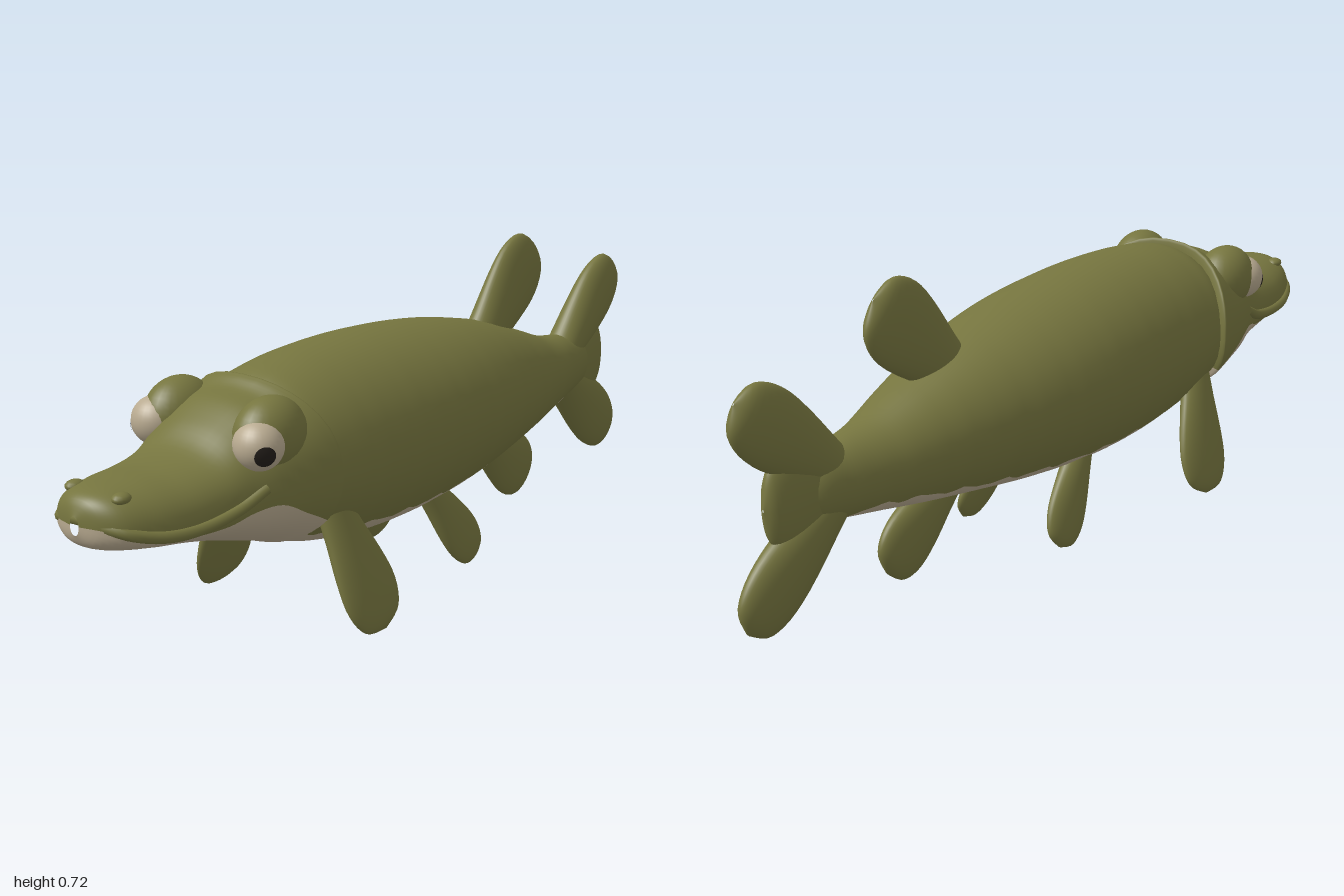
import * as THREE from 'three';

const mat = (name, color, opts = {}) => {
  const m = new THREE.MeshStandardMaterial({ color, ...opts });
  m.name = name;
  return m;
};

// Catmull-Rom blend between rows of numbers
function smoothRows(rows, steps) {
  const out = [];
  for (let i = 0; i < rows.length - 1; i++) {
    const a = rows[Math.max(i - 1, 0)], b = rows[i], c = rows[i + 1], d = rows[Math.min(i + 2, rows.length - 1)];
    for (let s = 0; s < steps; s++) {
      const t = s / steps;
      out.push(b.map((v, k) => v + 0.5 * t * (c[k] - a[k]
        + t * (2 * a[k] - 5 * v + 4 * c[k] - d[k] + t * (3 * (v - c[k]) + d[k] - a[k])))));
    }
  }
  out.push(rows[rows.length - 1]);
  return out;
}

// Loft along z, front to back. Row: z, top, bottom, half width, widest y, colour split y, backward bow
function loft(rows, { steps = 5, e = 1, wave = 0 } = {}) {
  const NU = 24, NL = 16, N = NU + NL;
  const pos = [], upper = [], lower = [];
  const pw = (v, p) => Math.sign(v) * Math.abs(v) ** p;
  const rings = smoothRows(rows, steps);
  rings.forEach(([z, top, bot, hw, mid, split, bow]) => {
    const s = split + wave * (Math.sin(z * 55) + 0.6 * Math.sin(z * 97));
    const u = THREE.MathUtils.clamp((s - mid) / (s > mid ? top - mid : mid - bot), -0.98, 0.98);
    const a0 = Math.asin(pw(u, 1 / e));
    for (let j = 0; j < N; j++) {
      const a = j < NU ? a0 + (Math.PI - 2 * a0) * j / NU
        : Math.PI - a0 + (Math.PI + 2 * a0) * (j - NU) / NL;
      const c = Math.cos(a), sn = Math.sin(a);
      pos.push(Math.max(hw, 0.001) * pw(c, e), mid + (sn > 0 ? top - mid : mid - bot) * pw(sn, e), z - bow * c * c);
    }
  });
  for (let i = 0; i < rings.length - 1; i++) {
    for (let j = 0; j < N; j++) {
      const k = (j + 1) % N, p = i * N, q = p + N;
      (j < NU ? upper : lower).push(p + j, q + j, p + k, p + k, q + j, q + k);
    }
  }
  const g = new THREE.BufferGeometry();
  g.setAttribute('position', new THREE.Float32BufferAttribute(pos, 3));
  g.setIndex([...upper, ...lower]);
  g.addGroup(0, upper.length, 0);
  g.addGroup(upper.length, lower.length, 1);
  g.computeVertexNormals();
  return g;
}

// Rounded paddle: distance along, half width, thickness (all as fractions)
const PADDLE = [[0, 0.5, 1], [0.25, 0.68, 1], [0.5, 0.9, 0.95], [0.7, 1, 0.85], [0.85, 0.9, 0.7], [0.95, 0.62, 0.45], [1, 0.03, 0.03]];
function fin(root, tip, width, thick, across) {
  const r = new THREE.Vector3(...root), Z = r.clone().sub(new THREE.Vector3(...tip));
  const len = Z.length();
  Z.normalize();
  const Y = new THREE.Vector3(...across);
  Y.addScaledVector(Z, -Y.dot(Z)).normalize();
  const X = new THREE.Vector3().crossVectors(Y, Z);
  const rows = PADDLE.map(([t, w, h]) => [-t * len, w * width / 2, -w * width / 2, h * thick / 2, 0, 0, 0]);
  const g = loft(rows, { steps: 3 });
  g.clearGroups();
  return g.applyMatrix4(new THREE.Matrix4().makeBasis(X, Y, Z).setPosition(r));
}

export function createModel() {
  const model = new THREE.Group();
  const green = mat('olive green', 0x76753f);
  const cream = mat('cream', 0xb8aa90);
  const black = mat('pupil black', 0x231e1a);
  const add = (name, geo, material, parent = model) => {
    const m = new THREE.Mesh(geo, material);
    m.name = name;
    parent.add(m);
    return m;
  };

  // Body with pale belly
  add('body', loft([
    [0.57, 0.48, 0.28, 0.1, 0.38, 0.3, 0],
    [0.5, 0.56, 0.215, 0.185, 0.38, 0.24, 0],
    [0.4, 0.588, 0.175, 0.207, 0.37, 0.225, 0],
    [0.25, 0.598, 0.148, 0.216, 0.37, 0.208, 0],
    [0.1, 0.597, 0.14, 0.22, 0.37, 0.203, 0],
    [-0.05, 0.585, 0.147, 0.217, 0.37, 0.205, 0],
    [-0.2, 0.563, 0.163, 0.2, 0.365, 0.215, 0],
    [-0.35, 0.528, 0.185, 0.168, 0.355, 0.23, 0],
    [-0.5, 0.478, 0.208, 0.128, 0.345, 0.25, 0],
    [-0.62, 0.435, 0.23, 0.092, 0.335, 0.266, 0],
    [-0.72, 0.418, 0.248, 0.066, 0.333, 0.264, 0],
    [-0.8, 0.4, 0.268, 0.045, 0.333, 0.27, 0],
    [-0.85, 0.34, 0.325, 0.004, 0.333, 0.327, 0],
  ], { steps: 7, wave: 0.005 }), [green, cream]);

  // Head with flat snout, pale jaw and gill cover edge
  add('head', loft([
    [1.0, 0.4, 0.36, 0.012, 0.38, 0.38, 0],
    [0.985, 0.43, 0.335, 0.06, 0.376, 0.378, 0],
    [0.95, 0.444, 0.322, 0.1, 0.365, 0.364, 0],
    [0.88, 0.45, 0.31, 0.127, 0.355, 0.338, 0],
    [0.8, 0.452, 0.295, 0.14, 0.355, 0.328, 0],
    [0.72, 0.468, 0.275, 0.15, 0.36, 0.328, 0],
    [0.66, 0.508, 0.258, 0.163, 0.365, 0.345, 0],
    [0.6, 0.542, 0.24, 0.185, 0.37, 0.35, 0],
    [0.55, 0.556, 0.225, 0.203, 0.375, 0.315, 0.02],
    [0.52, 0.574, 0.212, 0.215, 0.375, 0.285, 0.06],
    [0.508, 0.57, 0.215, 0.21, 0.375, 0.28, 0.065],
    [0.505, 0.5, 0.27, 0.15, 0.375, 0.3, 0.05],
  ], { e: 0.88 }), [green, cream]);

  // Overhanging upper lip
  const half = [[0.165, 0.39, 0.63], [0.152, 0.36, 0.7], [0.138, 0.345, 0.8], [0.122, 0.352, 0.89], [0.085, 0.372, 0.957]];
  const lipPath = [...half, [0, 0.39, 0.984], ...half.map(([x, y, z]) => [-x, y, z]).reverse()];
  add('upperLip', new THREE.TubeGeometry(
    new THREE.CatmullRomCurve3(lipPath.map(p => new THREE.Vector3(...p))), 60, 0.013, 10), green);

  for (const s of [1, -1]) {
    const side = s > 0 ? 'left' : 'right';
    // Brow ridge, eye and nostril
    const brow = add(side + 'Brow', new THREE.SphereGeometry(1, 28, 20), green);
    brow.scale.set(0.066, 0.08, 0.09);
    brow.position.set(s * 0.128, 0.486, 0.575);
    const eye = new THREE.Group();
    eye.name = side + 'Eye';
    eye.position.set(s * 0.145, 0.478, 0.628);
    model.add(eye);
    add(side + 'Eyeball', new THREE.SphereGeometry(0.054, 28, 20), cream, eye);
    const pupil = add(side + 'Pupil', new THREE.SphereGeometry(0.0555, 24, 8, 0, Math.PI * 2, 0, 0.42), black, eye);
    pupil.quaternion.setFromUnitVectors(new THREE.Vector3(0, 1, 0), new THREE.Vector3(s * 0.78, -0.2, 0.52).normalize());
    const nostril = add(side + 'Nostril', new THREE.SphereGeometry(1, 14, 10), green);
    nostril.scale.set(0.018, 0.012, 0.022);
    nostril.position.set(s * 0.065, 0.432, 0.935);

    // Paired fins
    add(side + 'PectoralFin', fin([s * 0.148, 0.3, 0.41], [s * 0.242, 0.004, 0.335], 0.175, 0.056, [0, 0, 1]), green);
    add(side + 'PelvicFin', fin([s * 0.095, 0.225, 0.01], [s * 0.145, 0.006, -0.145], 0.125, 0.056, [0, 0, 1]), green);
  }

  // Fins on the centre line
  add('dorsalFin', fin([0, 0.44, -0.32], [0, 0.685, -0.59], 0.195, 0.08, [0, 1, 1]), green);
  add('analFin', fin([0, 0.24, -0.35], [0, 0.062, -0.575], 0.165, 0.076, [0, 1, -1]), green);
  add('upperTailLobe', fin([0, 0.32, -0.68], [0, 0.575, -0.985], 0.165, 0.09, [0, 1, 1]), green);
  add('lowerTailLobe', fin([0, 0.345, -0.68], [0, 0.085, -0.985], 0.165, 0.09, [0, 1, -1]), green);
  add('tailWeb', fin([0, 0.333, -0.66], [0, 0.333, -0.925], 0.22, 0.085, [0, 1, 0]), green);

  return model;
}
